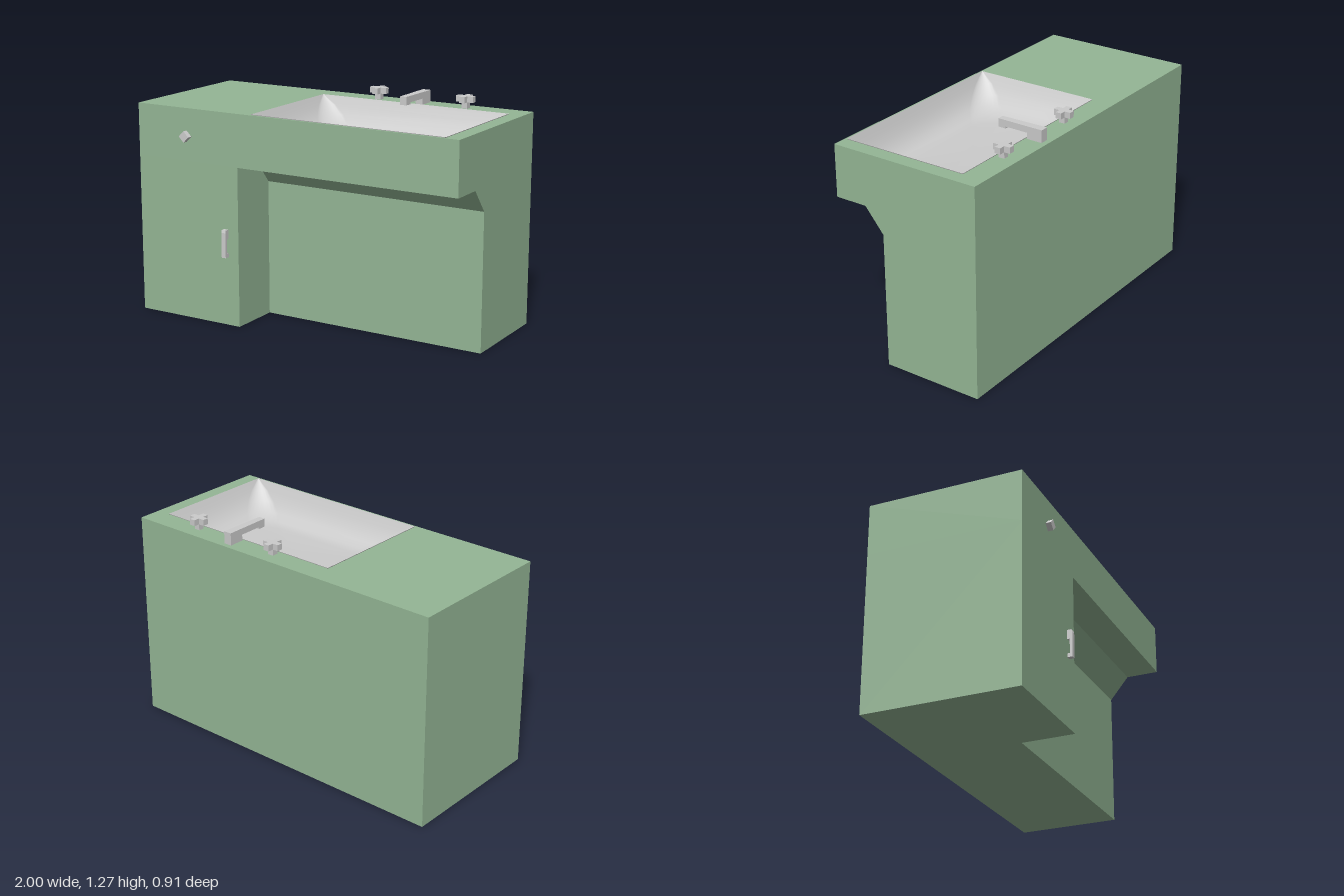
import * as THREE from 'three';

const green = new THREE.MeshStandardMaterial({ color: 0x94b695 });
const grey = new THREE.MeshStandardMaterial({ color: 0xcccccc });
const greyBasin = new THREE.MeshStandardMaterial({ color: 0xcccccc, side: THREE.DoubleSide });

function add(parent, name, geometry, material) {
  const mesh = new THREE.Mesh(geometry, material);
  mesh.name = name;
  parent.add(mesh);
  return mesh;
}

// Box given by its lower and upper corners
function box(x0, y0, z0, x1, y1, z1) {
  return new THREE.BoxGeometry(x1 - x0, y1 - y0, z1 - z0)
    .translate((x0 + x1) / 2, (y0 + y1) / 2, (z0 + z1) / 2);
}

const shapeOf = (pts) => new THREE.Shape(pts.map(([a, b]) => new THREE.Vector2(a, b)));

// Side profile in (z, y), extruded from x0 to x1
function sideProfile(pts, x0, x1) {
  const g = new THREE.ExtrudeGeometry(shapeOf(pts.map(([z, y]) => [-z, y])), { depth: x1 - x0, bevelEnabled: false });
  return g.rotateY(Math.PI / 2).translate(x0, 0, 0);
}

const BACK = -0.457, FRONT = 0.428, TOP = 1.202, SPLIT = 0.905, KNEE = -0.335;
const SINK = { x0: -0.252, x1: 0.917, z0: -0.325, z1: 0.415 };

function createCabinet() {
  const cabinet = new THREE.Group();
  cabinet.name = 'cabinet';

  // Countertop block with the sink opening
  const rect = (x0, x1, z0, z1) => [[x0, -z1], [x1, -z1], [x1, -z0], [x0, -z0]];
  const top = shapeOf(rect(-1, 1, BACK, FRONT));
  top.holes.push(shapeOf(rect(SINK.x0, SINK.x1, SINK.z0, SINK.z1).reverse()));
  const topGeo = new THREE.ExtrudeGeometry(top, { depth: TOP - SPLIT, bevelEnabled: false });
  add(cabinet, 'countertop', topGeo.rotateX(-Math.PI / 2).translate(0, SPLIT, 0), green);

  // Panel closing the opening from below
  add(cabinet, 'underPanel', box(SINK.x0, SPLIT, SINK.z0, SINK.x1, SPLIT + 0.02, SINK.z1), green);

  // Cupboard beside the knee space
  add(cabinet, 'cupboard', box(-1, 0, BACK, KNEE, SPLIT, FRONT), green);

  // Recessed base below the sink, with its slanted upper edge
  add(cabinet, 'recessedBase', sideProfile(
    [[BACK, 0], [BACK, SPLIT], [0.238, SPLIT], [0.127, 0.772], [0.127, 0]], KNEE, 1), green);
  return cabinet;
}

// Basin: a square rim blending into rounded rings that shrink toward the floor
function createBasin() {
  // Each ring: inset, height below the top, corner radius
  const profile = [[0, 0.003, 0.002], [0.02, -0.045, 0.07], [0.045, -0.095, 0.11],
    [0.08, -0.14, 0.13], [0.125, -0.168, 0.13], [0.18, -0.178, 0.12]];
  const N = 8; // steps per corner
  const pos = [], idx = [];
  const ring = 4 * (N + 1);
  const cx = (SINK.x0 + SINK.x1) / 2, cz = (SINK.z0 + SINK.z1) / 2;
  const hx = (SINK.x1 - SINK.x0) / 2, hz = (SINK.z1 - SINK.z0) / 2;
  for (const [inset, y, r] of profile) {
    for (let c = 0; c < 4; c++) {
      const sx = c === 0 || c === 3 ? 1 : -1, sz = c < 2 ? 1 : -1;
      for (let i = 0; i <= N; i++) {
        const a = (c + i / N) * Math.PI / 2;
        pos.push(cx + sx * (hx - inset * 1.25 - r) + r * Math.cos(a), TOP + y,
          cz + sz * (hz - inset - r) + r * Math.sin(a));
      }
    }
  }
  for (let k = 0; k < profile.length - 1; k++) {
    for (let i = 0; i < ring; i++) {
      const j = (i + 1) % ring;
      const a = k * ring + i, b = k * ring + j;
      idx.push(a, b, a + ring, b, b + ring, a + ring);
    }
  }
  const last = (profile.length - 1) * ring, centre = pos.length / 3;
  pos.push(cx, TOP - 0.178, cz);
  for (let i = 0; i < ring; i++) idx.push(last + i, last + (i + 1) % ring, centre);
  const g = new THREE.BufferGeometry();
  g.setAttribute('position', new THREE.Float32BufferAttribute(pos, 3));
  g.setIndex(idx);
  g.computeVertexNormals();
  return g;
}

// Cross-shaped tap handle on a square post
function createTap(x) {
  const tap = new THREE.Group();
  tap.name = 'tapHandle';
  add(tap, 'tapPost', box(-0.017, TOP, -0.017, 0.017, 1.245, 0.017), grey);
  const w = 0.017, l = 0.051;
  const cross = shapeOf([[w, w], [w, l], [-w, l], [-w, w], [-l, w], [-l, -w],
    [-w, -w], [-w, -l], [w, -l], [w, -w], [l, -w], [l, w]]);
  const g = new THREE.ExtrudeGeometry(cross, { depth: 0.034, bevelEnabled: false });
  add(tap, 'tapCross', g.rotateX(-Math.PI / 2).translate(0, 1.237, 0), grey);
  tap.position.set(x, 0, -0.367);
  return tap;
}

// Angular spout, slightly narrower toward its tip
function createSpout() {
  const g = sideProfile([[-0.427, TOP], [-0.427, 1.272], [-0.155, 1.272], [-0.155, 1.225],
    [-0.2, 1.225], [-0.2, 1.236], [-0.337, 1.236], [-0.337, TOP]], -0.024, 0.024);
  const p = g.attributes.position;
  for (let i = 0; i < p.count; i++) {
    const t = (p.getZ(i) + 0.427) / 0.272;
    p.setX(i, p.getX(i) * (1 - 0.2 * t));
  }
  g.computeVertexNormals();
  return g.translate(0.364, 0, 0);
}

export function createModel() {
  const model = new THREE.Group();
  model.name = 'sinkCabinet';
  model.add(createCabinet());
  add(model, 'basin', createBasin(), greyBasin);

  add(model, 'spout', createSpout(), grey);
  for (const x of [0.094, 0.637]) model.add(createTap(x));

  // Diamond knob on the upper front
  const knob = add(model, 'knob', new THREE.BoxGeometry(0.045, 0.045, 0.03), grey);
  knob.position.set(-0.671, 1.045, FRONT + 0.015);
  knob.rotation.z = Math.PI / 4;

  // Door pull with a finger gap
  add(model, 'doorHandle', sideProfile([[FRONT, 0.393], [FRONT, 0.415], [0.442, 0.415], [0.442, 0.497],
    [FRONT, 0.497], [FRONT, 0.55], [0.453, 0.55], [0.457, 0.535], [0.457, 0.393]], -0.428, -0.401), grey);
  return model;
}
